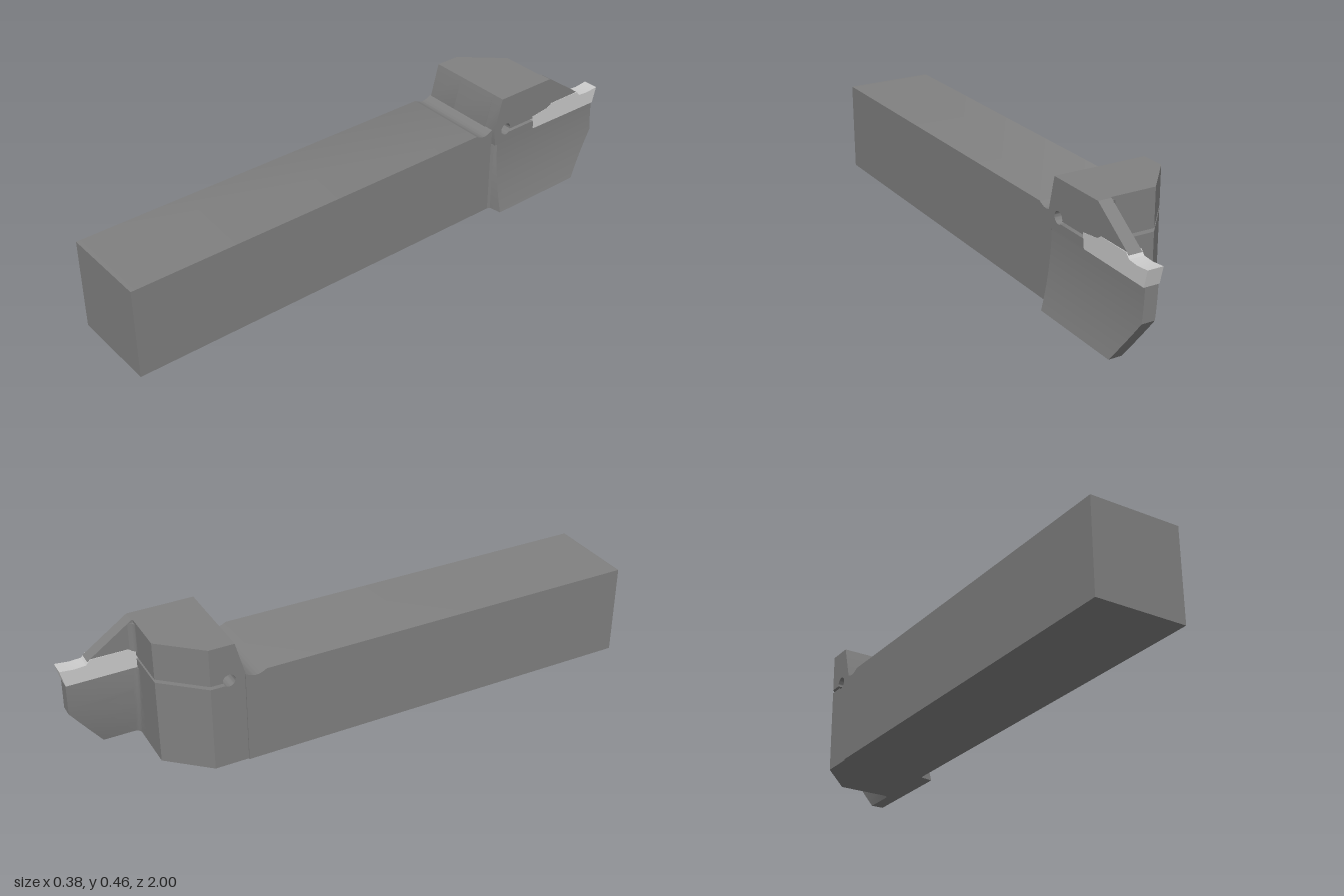
import * as THREE from 'three';
import { toCreasedNormals } from 'three/addons/utils/BufferGeometryUtils.js';

const steel = new THREE.MeshStandardMaterial({ color: 0x808080 });
const carbide = new THREE.MeshStandardMaterial({ color: 0xcccccc });

function addMesh(group, name, geometry, material = steel) {
  const mesh = new THREE.Mesh(toCreasedNormals(geometry, 0.5), material);
  mesh.name = name;
  group.add(mesh);
}

// Side profile given as [distance towards the back, height], extruded from x0 to x1.
function sideExtrude(points, x0, x1, reshape) {
  const shape = new THREE.Shape(points.map(p => new THREE.Vector2(p[0], p[1])));
  const g = new THREE.ExtrudeGeometry(shape, { depth: x1 - x0, bevelEnabled: false });
  g.translate(0, 0, x0);
  const pos = g.attributes.position;
  if (reshape) {
    for (let i = 0; i < pos.count; i++) {
      const [s, x] = reshape(pos.getX(i), pos.getZ(i));
      pos.setX(i, s);
      pos.setZ(i, x);
    }
  }
  return g.rotateY(Math.PI / 2);
}

// Stack of plan outlines [x, z], counter-clockwise from above, closed at both ends.
function loft(levels, ringAt) {
  const rings = levels.map(ringAt), n = rings[0].length, verts = [], index = [];
  rings.forEach((ring, j) => ring.forEach(([x, z]) => verts.push(x, levels[j], z)));
  for (let j = 0; j < rings.length - 1; j++) {
    for (let i = 0; i < n; i++) {
      const a = j * n + i, b = j * n + (i + 1) % n;
      index.push(a, b, b + n, a, b + n, a + n);
    }
  }
  const cap = ring => THREE.ShapeUtils.triangulateShape(ring.map(([x, z]) => new THREE.Vector2(x, -z)), []);
  const top = (rings.length - 1) * n;
  cap(rings[0]).forEach(([a, b, c]) => index.push(a, c, b));
  cap(rings[rings.length - 1]).forEach(([a, b, c]) => index.push(top + a, top + b, top + c));
  const g = new THREE.BufferGeometry();
  g.setAttribute('position', new THREE.Float32BufferAttribute(verts, 3));
  g.setIndex(index);
  return g.toNonIndexed();
}

// Clamping slot that ends in a round relief hole.
function slot(end) {
  const pts = [[end, 0.308]], r = 0.022, a0 = -0.883, a1 = -6.512;
  for (let i = 0; i <= 24; i++) {
    const a = a0 + (a1 - a0) * i / 24;
    pts.push([0.535 + r * Math.cos(a), 0.325 + r * Math.sin(a)]);
  }
  pts.push([end, 0.32]);
  return pts;
}

// Concave corner between the blade and the head's end face.
function fillet(xIn) {
  const pts = [], r = 0.02;
  for (let i = 0; i <= 6; i++) {
    const a = i / 6 * Math.PI / 2;
    pts.push([xIn - r + r * Math.cos(a), -0.76 + r * Math.sin(a)]);
  }
  return pts;
}

export function createModel() {
  const group = new THREE.Group();
  group.name = 'partingToolHolder';

  // Square shank with a shallow groove across the top, next to the head
  const groove = [];
  for (let i = 0; i <= 12; i++) {
    const t = i / 12;
    groove.push([0.48 - 0.075 * t, 0.335 - 0.013 * Math.sin(Math.PI * t)]);
  }
  addMesh(group, 'shank', sideExtrude([[-1, 0], [0.48, 0], ...groove, [-1, 0.333]], -0.19, 0.14));

  // Head: full block plus a corner cut off at an angle
  const head = [[0.478, 0], [0.74, 0], ...slot(0.74), [0.74, 0.455], [0.51, 0.455], [0.478, 0.335]];
  addMesh(group, 'headBlock', sideExtrude(head, -0.06, 0.105));
  addMesh(group, 'headCorner', sideExtrude(head, -0.185, -0.06,
    (s, x) => [x < -0.1 ? Math.min(s, 0.6) : s, x]));

  // Curved support blade, sweeping outwards towards the bottom
  const levels = [];
  for (let i = 0; i <= 8; i++) levels.push(0.02 * i);
  for (let i = 1; i <= 6; i++) levels.push(0.16 + 0.115 * i / 6);
  addMesh(group, 'supportBlade', loft(levels, y => {
    const bend = 0.037 * Math.pow(Math.max(0, 0.29 - y) / 0.29, 2);
    const xIn = 0.105 + bend, xOut = 0.152 + bend;
    const zEnd = -Math.min(0.985, 0.87 + 0.115 * y / 0.16);
    return [[0.14, -0.478], [0.144, -0.489], [xOut, -0.497], [xOut, zEnd], [xIn, zEnd],
      ...fillet(xIn), [0.07, -0.74], [0.07, -0.478]];
  }));

  // Upper clamping jaw above the blade
  const jaw = [[0.485, 0.275], [0.675, 0.275], ...slot(0.675), [0.74, 0.333], [0.905, 0.343],
    [0.745, 0.455], [0.51, 0.455], [0.48, 0.335]];
  addMesh(group, 'clampJaw', sideExtrude(jaw, 0.105, 0.153));
  addMesh(group, 'jawFillet', loft([0.34, 0.445],
    () => [[0.11, -0.735], [0.11, -0.76], ...fillet(0.105), [0.08, -0.735]]));

  // Cutting insert, slightly wider at the cutting edge
  const insert = [[0.677, 0.275], [0.985, 0.275], [1, 0.335], [0.95, 0.33], [0.91, 0.333], [0.895, 0.35],
    [0.765, 0.35], [0.745, 0.337], [0.67, 0.328]];
  addMesh(group, 'cuttingInsert', sideExtrude(insert, 0.1, 0.156, (s, x) => {
    const width = 0.86 + 0.14 * THREE.MathUtils.clamp((s - 0.67) / 0.33, 0, 1);
    return [s, 0.129 + (x - 0.128) * width];
  }), carbide);

  return group;
}
